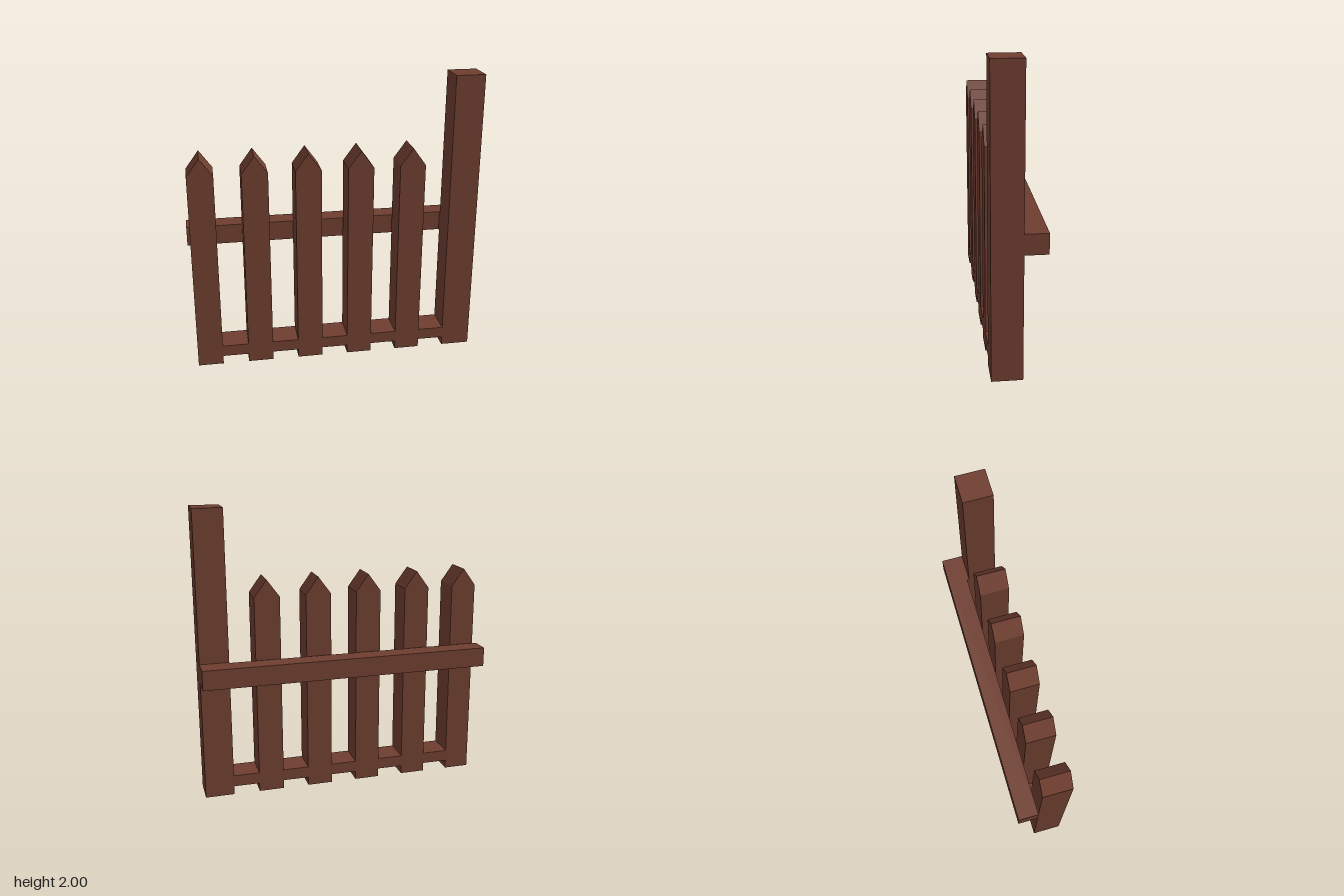
import * as THREE from 'three';

export function createModel() {
  const fence = new THREE.Group();
  fence.name = 'picketFence';
  const wood = new THREE.MeshStandardMaterial({ color: 0x6f3e30, flatShading: true });
  const back = -0.025, front = 0.175;

  function add(name, geometry) {
    const mesh = new THREE.Mesh(geometry, wood);
    mesh.name = name;
    fence.add(mesh);
    return mesh;
  }

  // Box given by its limits on each axis
  function beam(name, [x0, x1], [y0, y1], [z0, z1]) {
    add(name, new THREE.BoxGeometry(x1 - x0, y1 - y0, z1 - z0))
      .position.set((x0 + x1) / 2, (y0 + y1) / 2, (z0 + z1) / 2);
  }

  // Tall end post
  beam('post', [0.8, 1], [0, 2], [back, front]);

  // Pointed pickets
  const half = 0.0875, count = 5, spacing = 0.355;
  const outline = new THREE.Shape([
    new THREE.Vector2(-half, 0),
    new THREE.Vector2(half, 0),
    new THREE.Vector2(half, 1.4),
    new THREE.Vector2(0, 1.52),
    new THREE.Vector2(-half, 1.4),
  ]);
  const picketGeometry = new THREE.ExtrudeGeometry(outline, { depth: front - back, bevelEnabled: false });
  for (let i = 0; i < count; i++) {
    const x = -0.8875 + i * spacing;
    add('picket' + (i + 1), picketGeometry).position.set(x, 0, back);
    // Lower rail section, flush with the pickets, up to the next picket or the post
    const end = i < count - 1 ? x + spacing - half : 0.8;
    beam('lowerRail' + (i + 1), [x + half, end], [0.06, 0.14], [back, front]);
  }

  // Upper rail, just clear of the pickets and joined to the post by a spacer
  beam('upperRail', [-1, 1], [0.835, 0.97], [-0.175, -0.038]);
  beam('railSpacer', [0.8, 1], [0.835, 0.97], [-0.038, back]);

  return fence;
}
